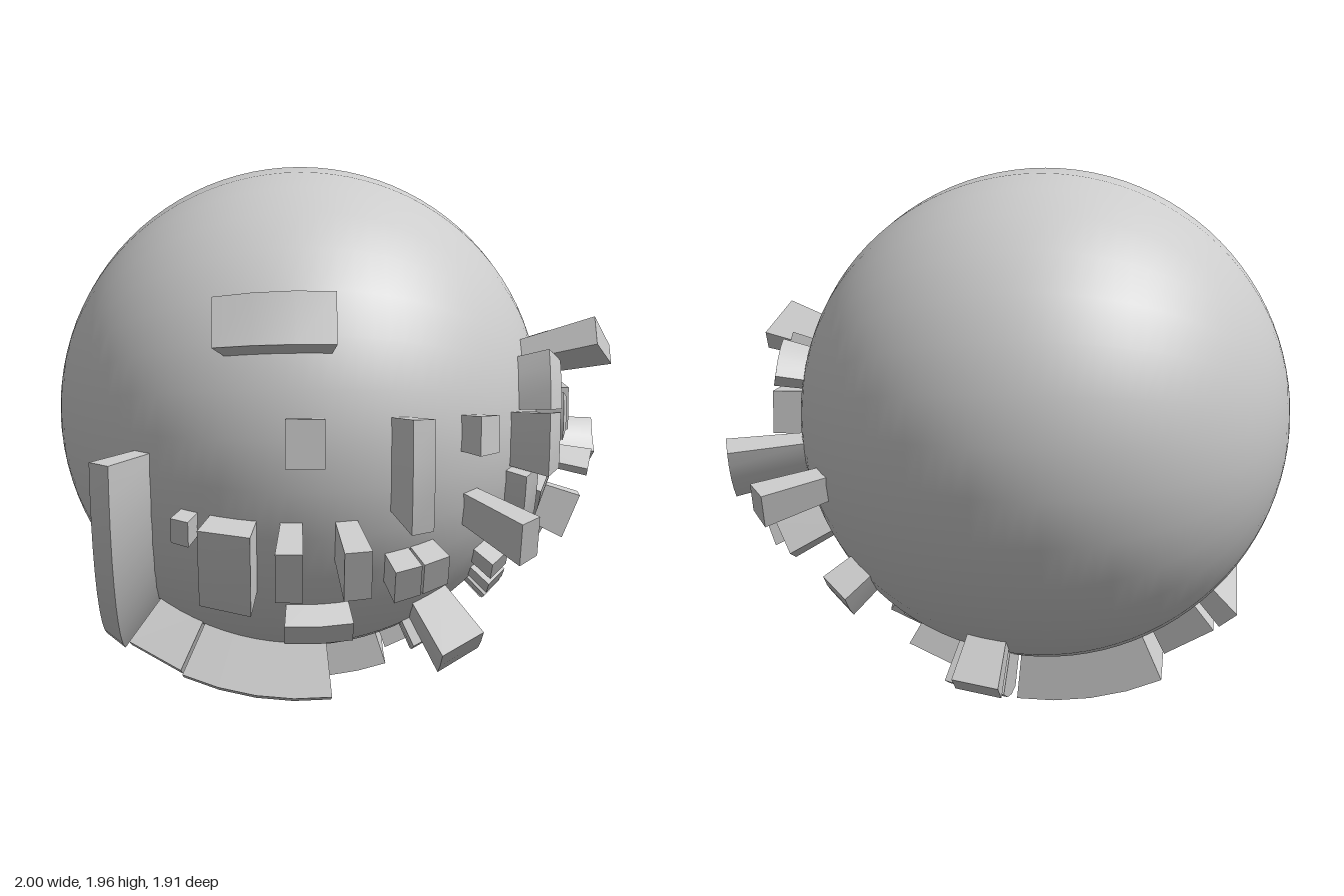
import * as THREE from 'three';

const R = 0.88;                                  // ball radius
const CENTER = new THREE.Vector3(-0.12, 1.083, -0.07);
const rad = THREE.MathUtils.degToRad;
const material = new THREE.MeshStandardMaterial({ color: 0xcccccc });

// Curved block on the ball: a box bent into polar coordinates about the x axis.
// t = angle from +x, p = angle around x (0 faces the front, 90 is up), r = outer radius.
function block(t0, t1, p0, p1, r) {
  const nt = Math.max(1, Math.round((t1 - t0) / 8));
  const np = Math.max(1, Math.round((p1 - p0) / 8));
  const g = new THREE.BoxGeometry(1, 1, 1, nt, np, 1);
  const pos = g.attributes.position;
  const inner = R - 0.04;
  for (let i = 0; i < pos.count; i++) {
    const t = rad(t1 + (t0 - t1) * (pos.getX(i) + 0.5));
    const p = rad(p0 + (p1 - p0) * (pos.getY(i) + 0.5));
    const d = inner + (r - inner) * (pos.getZ(i) + 0.5);
    pos.setXYZ(i, d * Math.cos(t), d * Math.sin(t) * Math.sin(p), d * Math.sin(t) * Math.cos(p));
  }
  g.computeVertexNormals();
  return new THREE.Mesh(g, material);
}

// Groups of blocks: [t0, t1, p0, p1, r]
const BLOCKS = {
  frontBlock: [
    [84, 107.5, 19, 29.5, 1.0],
    [86, 94, -5, 5, 0.94],
    [66.7, 71, -17.3, 5, 1.06],
    [47.8, 53, -5, 5, 0.975],
    [30.2, 35, -17, 5, 1.03],
    [12, 17.5, -17, 17, 0.98],
  ],
  lowerFrontBlock: [
    [90.5, 95.3, -28.7, -18.5, 1.085],
    [78.5, 83.4, -28.7, -18.5, 1.085],
    [100.5, 111, -39, -18.5, 0.99],
    [114, 118, -25, -18.5, 0.95],
    [47.6, 51.8, -28.5, -18, 1.16],
    [66.3, 72, -38, -29, 0.98],
    [60, 65.8, -38, -29, 0.98],
    [80, 94, -50, -43, 0.97],
  ],
  sideUpperBlock: [
    [19.4, 28.6, 30, 41.5, 1.16],
    [24.5, 31, 6, 30, 1.0],
    [12.5, 17, 68, 78, 0.98],
    [12.5, 17.5, 113, 149, 0.98],
  ],
  sideArc: [
    [18, 26, -90, -40, 0.95],
    [11.6, 17, -46, -39, 1.08],
    [31, 36.5, -42, -18, 0.96],
    [31, 36.5, -65, -43, 0.96],
  ],
  sideRearBlock: [
    [12.5, 18.5, 198, 232, 1.15],
    [30.6, 36, 199, 210, 1.12],
    [18, 27, 259, 270, 1.1],
    [24, 31, 246, 257, 1.05],
    [42, 49, 233, 247, 1.0],
    [75, 84, 237, 244, 1.05],
  ],
  undersideBlock: [
    [55, 64, -67, -54, 1.1],
    [56, 66, -79, -67, 0.98],
    [60.5, 71, -101, -90, 0.97],
    [84.5, 113.5, -89, -67, 1.08],
    [72, 84, -113, -90, 1.03],
    [114, 125.4, -76, -66, 1.07],
  ],
  longRib: [[126, 130.5, -73, -5, 1.09]],
};

export function createModel() {
  const model = new THREE.Group();
  model.position.copy(CENTER);

  // Ball, with its poles on the x axis
  const ballGeo = new THREE.SphereGeometry(R, 32, 48).rotateZ(-Math.PI / 2);
  const ball = new THREE.Mesh(ballGeo, material);
  ball.name = 'ball';
  model.add(ball);

  // Bent blocks
  for (const [name, list] of Object.entries(BLOCKS)) {
    const group = new THREE.Group();
    group.name = name + 's';
    for (const b of list) {
      const mesh = block(...b);
      mesh.name = name;
      group.add(mesh);
    }
    model.add(group);
  }

  // Row of small stubs curving beneath the side
  const stubs = new THREE.Group();
  stubs.name = 'stubRow';
  for (const p of [-48, -60, -72, -84, -96]) {
    const stub = block(42, 47, p - 4, p + 4, 0.97);
    stub.name = 'stub';
    stubs.add(stub);
  }
  const lastStub = block(42, 47, -111.5, -108, 0.99);
  lastStub.name = 'narrowStub';
  stubs.add(lastStub);
  model.add(stubs);

  // Square cap on the side pole
  const cap = new THREE.Mesh(new THREE.BoxGeometry(0.15, 0.155, 0.155), material);
  cap.position.x = 0.91;
  cap.name = 'poleCap';
  model.add(cap);

  const root = new THREE.Group();
  root.name = 'studdedBall';
  root.add(model);
  return root;
}
